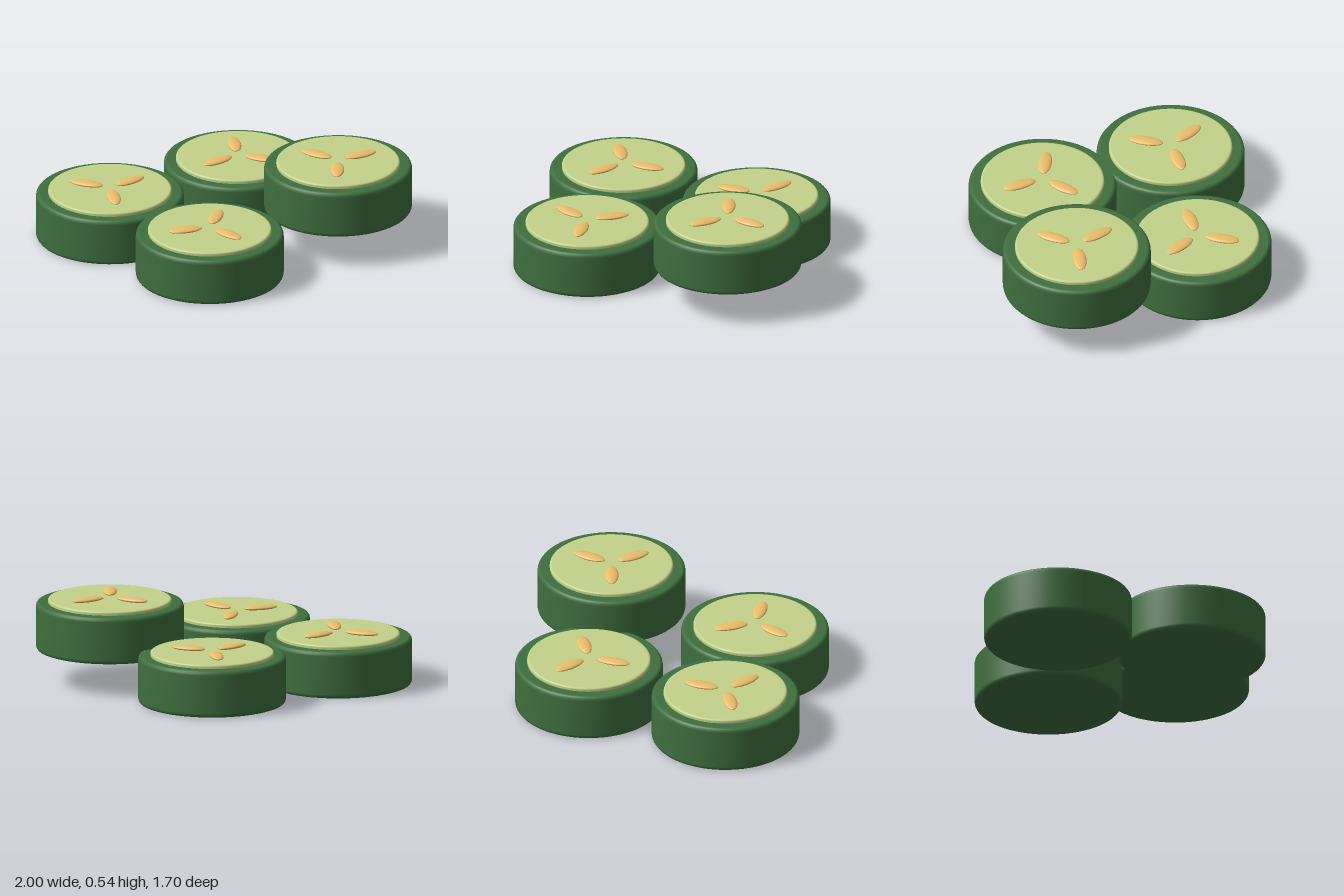
import * as THREE from 'three';

const rindMat = new THREE.MeshStandardMaterial({ color: 0x3f6f3f });
const fleshMat = new THREE.MeshStandardMaterial({ color: 0xc3d28a });
const seedMat = new THREE.MeshStandardMaterial({ color: 0xebbd6c });

// Closed disc with softly bevelled rims; extra rings beside the bevels keep the flats flat
function discGeometry(radius, y0, y1, inset, drop) {
  const profile = [[0, y0], [radius - inset * 1.2, y0]];
  const steps = 3;
  for (let i = 0; i <= steps; i++) {
    const a = (i / steps) * Math.PI / 2;
    profile.push([radius - inset * (1 - Math.sin(a)), y0 + drop * (1 - Math.cos(a))]);
  }
  for (let i = steps; i >= 0; i--) {
    const a = (i / steps) * Math.PI / 2;
    profile.push([radius - inset * (1 - Math.sin(a)), y1 - drop * (1 - Math.cos(a))]);
  }
  profile.push([radius - inset * 1.2, y1], [0, y1]);
  return new THREE.LatheGeometry(profile.map(([r, y]) => new THREE.Vector2(r, y)), 64);
}

const rindGeo = discGeometry(0.443, 0, 0.285, 0.018, 0.025);
const fleshGeo = discGeometry(0.37, 0.27, 0.308, 0.012, 0.01);
const seedGeo = new THREE.SphereGeometry(1, 24, 16).scale(0.105, 0.015, 0.041);

function part(name, geometry, material) {
  const mesh = new THREE.Mesh(geometry, material);
  mesh.name = name;
  return mesh;
}

// One slice: rind, flesh and three seeds pointing outwards
function createSlice(x, y, z, turn) {
  const slice = new THREE.Group();
  slice.name = 'slice';
  slice.add(part('rind', rindGeo, rindMat), part('flesh', fleshGeo, fleshMat));
  for (let i = 0; i < 3; i++) {
    const a = (i / 3) * Math.PI * 2;
    const seed = part('seed', seedGeo, seedMat);
    seed.position.set(0.152 * Math.cos(a), 0.316, 0.152 * Math.sin(a));
    seed.rotation.y = -a;
    slice.add(seed);
  }
  slice.position.set(x, y, z);
  slice.rotation.y = -THREE.MathUtils.degToRad(turn);
  return slice;
}

export function createModel() {
  const model = new THREE.Group();
  model.name = 'vegetableSlices';
  // Three slices on the ground, the fourth raised to rest on a neighbour
  model.add(
    createSlice(-0.557, 0, -0.412, -5),
    createSlice(0.348, 0, -0.396, 175),
    createSlice(-0.379, 0, 0.405, 197),
    createSlice(0.555, 0.205, 0.382, 5)
  );
  return model;
}
